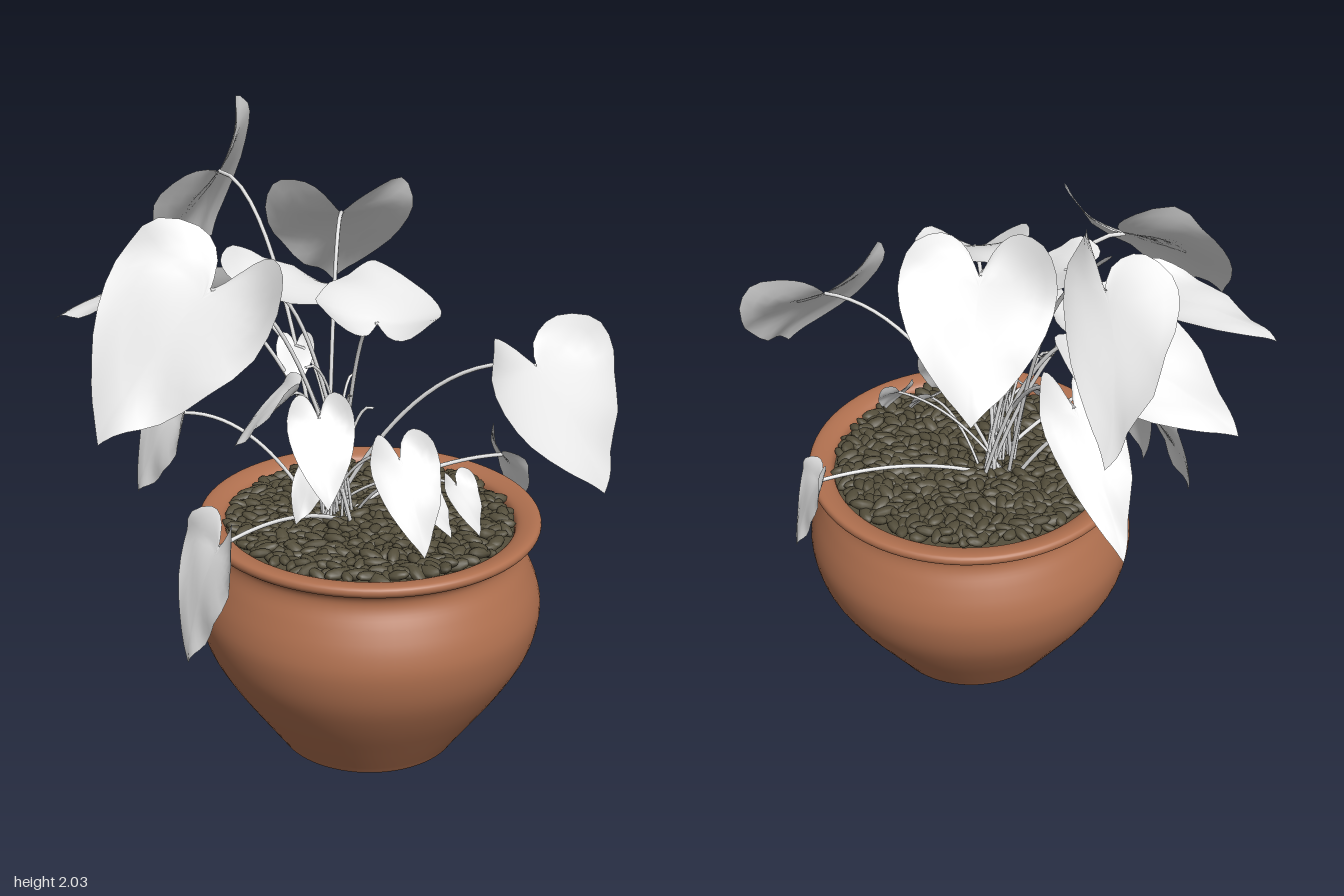
import * as THREE from 'three';
import { mergeGeometries } from 'three/addons/utils/BufferGeometryUtils.js';

const V = (x, y, z) => new THREE.Vector3(x, y, z);
const V2 = (x, y) => new THREE.Vector2(x, y);
const UP = V(0, 1, 0);
const POT = { x: 0.11, z: 0.22 };

let seed = 7;
const rand = () => {
  seed = (seed * 16807) % 2147483647;
  return seed / 2147483647;
};

const material = (name, color, side = THREE.FrontSide) => {
  const m = new THREE.MeshStandardMaterial({ color, side });
  m.name = name;
  return m;
};

// Half outline of a heart leaf: x along the midrib (0 = stalk, 1 = tip), y sideways
const HEART = new THREE.SplineCurve([
  V2(0, 0), V2(-0.2, 0.2), V2(-0.27, 0.5), V2(-0.14, 0.86), V2(0.12, 1),
  V2(0.45, 0.82), V2(0.75, 0.43), V2(0.9, 0.17), V2(1, 0),
]).getPoints(20);
const OUTLINE = [...HEART, ...HEART.slice(1, -1).reverse().map((p) => V2(p.x, -p.y))];

// Leaf blade: rings from a centre point out to the outline. It arches along the midrib,
// its lobes cup upward and its outer half droops; roll turns it about the midrib
function leafGeometry(base, tip, width, roll) {
  const length = base.distanceTo(tip);
  const L = tip.clone().sub(base).normalize();
  const W = L.clone().cross(UP).normalize().applyAxisAngle(L, -roll);
  const N = W.clone().cross(L);
  const rings = 7, n = OUTLINE.length, centre = 0.08;
  const pos = [], index = [];
  const put = (a, b, t) => {
    const wave = 0.025 * t * t * Math.sin(a * 9 + b * 4);
    const arch = 0.3 * Math.max(a, 0) * (1 - a);
    const h = length * (arch + wave) + width * b * b * (0.14 - 0.4 * a);
    const p = base.clone().addScaledVector(L, a * length)
      .addScaledVector(W, b * width / 2).addScaledVector(N, h);
    pos.push(p.x, p.y, p.z);
  };
  put(centre, 0, 0);
  for (let r = 1; r <= rings; r++) {
    const t = r / rings;
    for (const p of OUTLINE) put(centre + (p.x - centre) * t, p.y * t, t);
  }
  for (let i = 0; i < n; i++) {
    const j = (i + 1) % n;
    index.push(0, 1 + j, 1 + i);
    for (let r = 0; r < rings - 1; r++) {
      const a = 1 + r * n + i, b = 1 + r * n + j;
      index.push(a, b, b + n, a, b + n, a + n);
    }
  }
  const g = new THREE.BufferGeometry();
  g.setAttribute('position', new THREE.Float32BufferAttribute(pos, 3));
  g.setIndex(index);
  g.computeVertexNormals();
  return g;
}

// Stalk: rises from the middle of the pot and arches over to its end
function stalkGeometry(end, radius) {
  const angle = rand() * Math.PI * 2, r = 0.08 * Math.sqrt(rand());
  const root = V(0.02 + Math.cos(angle) * r, 0.75, 0.18 + Math.sin(angle) * r);
  const bend = root.clone().lerp(end, 0.45);
  bend.y = end.y + 0.04;
  return new THREE.TubeGeometry(new THREE.QuadraticBezierCurve3(root, bend, end), 20, radius, 6);
}

// Grown leaves: base, tip, width, roll
const GROWN = [
  [V(-0.41, 1.61, 0.26), V(-0.80, 1.23, 0.45), 0.60, 0.28],
  [V(-0.22, 1.80, -0.38), V(-0.15, 1.46, -0.78), 0.54, 0.92],
  [V(0.11, 1.71, -0.10), V(0.18, 1.38, -0.42), 0.48, 0],
  [V(-0.28, 1.45, -0.12), V(-0.66, 1.22, -0.36), 0.42, -0.35],
  [V(-0.15, 1.35, -0.32), V(-0.25, 1.00, -0.65), 0.26, 0],
  [V(-0.47, 1.53, 0.00), V(-0.82, 1.42, -0.15), 0.28, 0],
  [V(0.06, 1.51, 0.42), V(0.15, 1.61, 0.12), 0.38, -0.1],
  [V(-0.24, 1.57, 0.13), V(0.10, 1.48, 0.06), 0.32, -0.25],
  [V(0.56, 1.34, 0.47), V(0.69, 1.00, 0.72), 0.56, 0],
  [V(-0.46, 0.88, 0.50), V(-0.56, 0.50, 0.50), 0.28, 0.31],
  [V(-0.46, 1.10, -0.06), V(-0.58, 0.82, -0.10), 0.29, 0.5],
  [V(0.63, 0.87, 0.06), V(0.72, 0.67, -0.03), 0.25, -0.65],
];

// Young leaves near the middle: base, tip
const YOUNG = [
  [V(0.14, 1.06, 0.42), V(0.16, 0.80, 0.60)],
  [V(-0.14, 1.25, 0.48), V(-0.16, 1.02, 0.64)],
  [V(0.33, 0.95, 0.42), V(0.37, 0.81, 0.52)],
  [V(-0.10, 1.00, 0.32), V(-0.19, 0.87, 0.40)],
  [V(-0.20, 1.28, 0.35), V(-0.36, 1.10, 0.30)],
  [V(0.22, 0.93, 0.40), V(0.28, 0.81, 0.51)],
  [V(-0.08, 1.32, 0.02), V(-0.12, 1.22, 0.15)],
];

export function createModel() {
  const model = new THREE.Group();
  model.name = 'pottedPlant';
  const terracotta = material('terracotta', 0xb0704f);
  const stone = material('dark pebble', 0x544e3b);
  const foliage = material('pale foliage', 0xebebeb, THREE.DoubleSide);
  const add = (name, geometry, mat, parent = model) => {
    const mesh = new THREE.Mesh(geometry, mat);
    mesh.name = name;
    parent.add(mesh);
    return mesh;
  };

  // Pot: flat foot, round belly, narrow neck and flared lip
  const belly = new THREE.SplineCurve([
    V2(0.302, 0.012), V2(0.38, 0.12), V2(0.47, 0.25), V2(0.535, 0.37), V2(0.56, 0.48),
    V2(0.55, 0.56), V2(0.52, 0.635), V2(0.492, 0.69), V2(0.488, 0.725), V2(0.508, 0.752),
    V2(0.54, 0.764), V2(0.552, 0.78), V2(0.546, 0.797), V2(0.52, 0.8), V2(0.485, 0.79),
    V2(0.468, 0.77), V2(0.462, 0.72),
  ]).getPoints(64);
  const pot = add('pot', new THREE.LatheGeometry(
    [V2(0, 0), V2(0.285, 0), V2(0.297, 0.003), ...belly], 72), terracotta);
  pot.position.set(POT.x, 0, POT.z);

  // Soil disc under the pebbles
  const soil = add('soil', new THREE.CylinderGeometry(0.466, 0.466, 0.02, 48), stone);
  soil.position.set(POT.x, 0.75, POT.z);

  // Pebbles: flattened, tilted ovals in a sunflower spread
  const pebbles = [];
  const count = 620;
  for (let i = 0; i < count; i++) {
    const r = 0.45 * Math.sqrt((i + 0.5) / count), a = i * 2.39996;
    const s = 0.8 + rand() * 0.45;
    const g = new THREE.SphereGeometry(1, 8, 6);
    g.scale(0.037 * s, 0.015 * s, 0.02 * s);
    g.rotateX((rand() - 0.5) * 0.9);
    g.rotateZ((rand() - 0.5) * 0.7);
    g.rotateY(rand() * Math.PI * 2);
    g.translate(POT.x + Math.cos(a) * r, 0.774 + rand() * 0.016, POT.z + Math.sin(a) * r);
    pebbles.push(g);
  }
  add('pebbles', mergeGeometries(pebbles), stone);

  // Leaves, each on its own stalk
  const plant = new THREE.Group();
  plant.name = 'plant';
  model.add(plant);
  for (const [base, tip, width, roll] of GROWN) {
    add('leaf', leafGeometry(base, tip, width, roll), foliage, plant);
    add('stalk', stalkGeometry(base, 0.007), foliage, plant);
  }
  for (const [base, tip] of YOUNG) {
    add('youngLeaf', leafGeometry(base, tip, base.distanceTo(tip) * 0.73, 0), foliage, plant);
    add('youngStalk', stalkGeometry(base, 0.005), foliage, plant);
  }

  // Bare young shoots
  for (let i = 0; i < 6; i++) {
    const a = i * 1.05 + 0.3;
    const end = V(-0.02 + Math.cos(a) * 0.14, 1.1 + rand() * 0.25, 0.2 + Math.sin(a) * 0.12);
    add('shoot', stalkGeometry(end, 0.005), foliage, plant);
  }
  return model;
}
